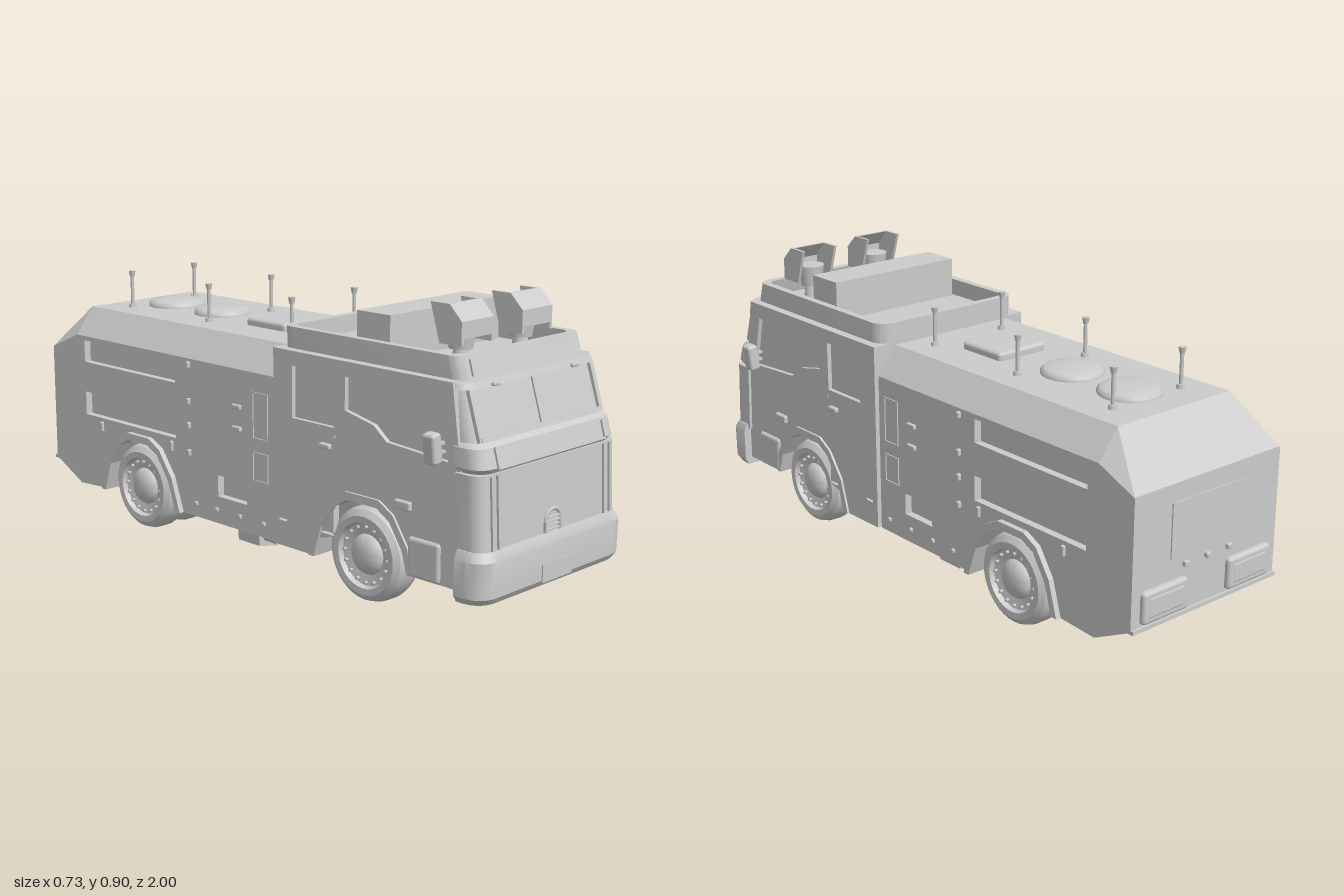
import * as THREE from 'three';
import { toCreasedNormals } from 'three/addons/utils/BufferGeometryUtils.js';
import { RoundedBoxGeometry } from 'three/addons/geometries/RoundedBoxGeometry.js';

export function createModel() {
  const root = new THREE.Group();
  const grey = new THREE.MeshStandardMaterial({ color: 0xcccccc, side: THREE.DoubleSide });
  const V = (x, y, z) => new THREE.Vector3(x, y, z);

  function add(name, geo, x = 0, y = 0, z = 0, parent = root) {
    const m = new THREE.Mesh(geo, grey);
    m.name = name;
    m.position.set(x, y, z);
    parent.add(m);
    return m;
  }
  const box = (name, w, h, d, x, y, z) => add(name, new THREE.BoxGeometry(w, h, d), x, y, z);
  const soft = (name, w, h, d, x, y, z, r = 0.012) => add(name, new RoundedBoxGeometry(w, h, d, 2, r), x, y, z);
  const poly = pts => new THREE.Shape(pts.map(p => new THREE.Vector2(p[0], p[1])));
  const rect = (a, b, c, d) => [[a, c], [b, c], [b, d], [a, d]];

  // Side profile in (z, y), extruded across x from x0 to x1
  function slab(name, pts, x0, x1, holes = []) {
    const s = poly(pts);
    holes.forEach(h => s.holes.push(poly(h)));
    const g = new THREE.ExtrudeGeometry(s, { depth: x1 - x0, bevelEnabled: false });
    g.rotateY(-Math.PI / 2).translate(x1, 0, 0);
    return add(name, g);
  }
  // Mirrored pair of slabs, x0 < x1 on the left side
  function slabPair(name, pts, x0, x1, holes) {
    slab(name + 'Left', pts, x0, x1, holes);
    slab(name + 'Right', pts, -x1, -x0, holes);
  }
  // Closed loft through equal point rings, with end caps
  function loft(name, rings, crease = 0.5) {
    const n = rings[0].length, pos = [];
    const tri = (...v) => v.forEach(p => pos.push(p.x, p.y, p.z));
    for (let k = 0; k < rings.length - 1; k++) {
      for (let i = 0; i < n; i++) {
        const j = (i + 1) % n, a = rings[k], b = rings[k + 1];
        tri(a[i], a[j], b[j]);
        tri(a[i], b[j], b[i]);
      }
    }
    const last = rings[rings.length - 1];
    for (let i = 1; i < n - 1; i++) {
      tri(rings[0][0], rings[0][i + 1], rings[0][i]);
      tri(last[0], last[i], last[i + 1]);
    }
    const g = new THREE.BufferGeometry();
    g.setAttribute('position', new THREE.Float32BufferAttribute(pos, 3));
    g.computeVertexNormals();
    return add(name, toCreasedNormals(g, crease));
  }
  // Plan outline that wraps round the front corners
  function wrap(y, w, zb, zf, r) {
    const right = [V(w, y, zb)];
    for (let i = 0; i <= 5; i++) {
      const a = i / 5 * Math.PI / 2;
      right.unshift(V(w - r + r * Math.cos(a), y, zf - r + r * Math.sin(a)));
    }
    return [...right.map(p => V(-p.x, y, p.z)).reverse(), ...right];
  }

  // ---- Rear body ----
  const rearArch = [[-0.31, 0.1], [-0.345, 0.2], [-0.4, 0.275], [-0.45, 0.3], [-0.55, 0.3], [-0.6, 0.275], [-0.65, 0.2], [-0.68, 0.1]];
  const bodySide = [[0.148, 0.1], ...rearArch, [-0.84, 0.09], [-0.98, 0.16], [-0.98, 0.56], [-0.84, 0.62], [0.148, 0.62]];
  slab('bodyCore', bodySide, -0.275, 0.275);
  slabPair('bodySide', bodySide, 0.275, 0.3, [
    rect(-0.32, -0.8, 0.53, 0.605), rect(-0.32, -0.8, 0.345, 0.425), rect(0.02, -0.115, 0.19, 0.26),
  ]);
  const roofRing = (z, x0, y0, x1, y1) => [V(-x0, y0, z), V(-x1, y1, z), V(x1, y1, z), V(x0, y0, z)];
  loft('bodyRoof', [roofRing(0.148, 0.3, 0.62, 0.23, 0.71), roofRing(-0.84, 0.3, 0.62, 0.23, 0.71), roofRing(-0.98, 0.3, 0.56, 0.297, 0.562)], 0.1);
  for (const z of [-0.66, -0.42]) {
    const dome = [[0.097, 0], [0.097, 0.012], [0.085, 0.022], [0.05, 0.027], [0, 0.029]].map(p => new THREE.Vector2(...p));
    add('roofDome', new THREE.LatheGeometry(dome, 32), 0, 0.708, z);
  }
  soft('roofHatch', 0.19, 0.035, 0.18, 0, 0.718, -0.11);

  // ---- Cab ----
  const frontArch = [[0.335, 0.1], [0.365, 0.2], [0.42, 0.275], [0.47, 0.305], [0.59, 0.305], [0.64, 0.275], [0.69, 0.2], [0.71, 0.13]];
  const cabSide = [[0.155, 0.1], ...frontArch, [0.9, 0.13], [0.91, 0.25], [0.895, 0.47], [0.86, 0.715], [0.155, 0.715]];
  slab('cabCore', cabSide, -0.295, 0.295);
  slabPair('cabSide', cabSide, 0.295, 0.31, [
    [[0.81, 0.665], [0.455, 0.67], [0.455, 0.57], [0.57, 0.545], [0.62, 0.505], [0.85, 0.49]],
    rect(0.41, 0.235, 0.51, 0.67),
    [[0.42, 0.18], [0.42, 0.488], [0.412, 0.488], [0.412, 0.188], [0.18, 0.188], [0.18, 0.18]],
  ]);
  // Flared lips over the wheel arches
  for (const [arch, zc] of [[frontArch, 0.525], [rearArch, -0.497]]) {
    const outer = arch.map(([z, y]) => [zc + (z - zc) * 1.12, 0.1 + (y - 0.1) * 1.12]);
    slabPair('archFlare', [...arch, ...outer.reverse()], 0.3, 0.318);
  }

  // Open roof tray
  const rounded = (w, h, r) => {
    const s = new THREE.Shape();
    s.moveTo(w - r, -h).absarc(w - r, h - r, r, 0, Math.PI / 2).absarc(r - w, h - r, r, Math.PI / 2, Math.PI)
      .absarc(r - w, r - h, r, Math.PI, Math.PI * 1.5).absarc(w - r, r - h, r, Math.PI * 1.5, Math.PI * 2);
    return s;
  };
  const trayShape = rounded(0.28, 0.352, 0.05);
  trayShape.holes.push(rounded(0.255, 0.325, 0.035));
  const tray = new THREE.ExtrudeGeometry(trayShape, { depth: 0.07, bevelEnabled: false, curveSegments: 6 });
  tray.rotateX(-Math.PI / 2).translate(0, 0.71, 0.507);
  const tp = tray.attributes.position;
  for (let i = 0; i < tp.count; i++) {
    if (tp.getZ(i) > 0.7) tp.setZ(i, tp.getZ(i) + (0.78 - tp.getY(i)) * 0.3);
  }
  add('roofTrayRim', toCreasedNormals(tray, 0.5));
  box('roofTrayFloor', 0.53, 0.02, 0.67, 0, 0.715, 0.507);
  box('roofLocker', 0.49, 0.14, 0.13, 0, 0.785, 0.505);
  box('visorPanel', 0.49, 0.048, 0.01, 0, 0.747, 0.868).rotation.x = -0.29;

  // ---- Front ----
  loft('grillePanel', [wrap(0.24, 0.32, 0.89, 0.98, 0.04), wrap(0.47, 0.32, 0.88, 0.968, 0.04)]);
  loft('frontBand', [wrap(0.47, 0.305, 0.88, 0.962, 0.05), wrap(0.485, 0.315, 0.88, 0.972, 0.05), wrap(0.54, 0.312, 0.87, 0.956, 0.05), wrap(0.552, 0.3, 0.87, 0.942, 0.05)]);
  loft('windscreen', [wrap(0.55, 0.3, 0.86, 0.935, 0.05), wrap(0.7, 0.295, 0.83, 0.888, 0.05)]);
  loft('windscreenTopRail', [wrap(0.695, 0.308, 0.84, 0.902, 0.05), wrap(0.712, 0.303, 0.83, 0.895, 0.05)]);
  loft('bumper', [wrap(0.105, 0.325, 0.9, 0.985, 0.06), wrap(0.125, 0.337, 0.9, 0.998, 0.06), wrap(0.23, 0.337, 0.9, 1, 0.06), wrap(0.256, 0.325, 0.9, 0.988, 0.06)]);
  box('numberPlate', 0.136, 0.055, 0.006, 0, 0.147, 0.999);
  const onFront = (name, w, h, x, y, z, tilt, d = 0.012) => { box(name, w, h, d, x, y, z).rotation.x = -tilt; };
  for (const x of [0, -0.275, 0.275]) onFront('windscreenPillar', 0.016, 0.15, x, 0.625, 0.911, 0.304);
  onFront('windscreenSill', 0.55, 0.012, 0, 0.56, 0.934, 0.304);
  for (const y of [0.483, 0.537]) onFront('bandTrim', 0.49, 0.006, 0, y, 0.972 - (y - 0.485) * 0.29, 0.28);
  for (const s of [1, -1]) {
    onFront('bandTrimEnd', 0.006, 0.058, s * 0.245, 0.51, 0.965, 0.28);
    for (const x of [0.245, 0.272]) onFront('grilleRib', 0.006, 0.21, s * x, 0.36, 0.975, 0.052);
    soft('wiperMotor', 0.03, 0.012, 0.012, s * 0.18, 0.7, 0.905, 0.004);
    soft('stepBox', 0.04, 0.12, 0.12, s * 0.3, 0.19, 0.77);
  }
  // Arched vent in the grille
  add('ventArch', new THREE.TorusGeometry(0.034, 0.006, 6, 20, Math.PI), 0, 0.288, 0.979);
  for (const s of [1, -1]) box('ventPost', 0.012, 0.034, 0.012, s * 0.034, 0.272, 0.98);
  for (let i = 0; i < 4; i++) box('ventSlat', 0.058, 0.005, 0.01, 0, 0.263 + i * 0.012, 0.98);

  // ---- Wheels ----
  const wheelProfile = [[0, -0.045], [0.09, -0.045], [0.115, -0.055], [0.137, -0.042], [0.145, -0.018], [0.145, 0.018], [0.138, 0.04],
    [0.12, 0.053], [0.1, 0.052], [0.095, 0.036], [0.062, 0.03], [0.055, 0.042], [0.035, 0.052], [0, 0.056]].map(p => new THREE.Vector2(...p));
  const wheelGeo = toCreasedNormals(new THREE.LatheGeometry(wheelProfile, 36), 0.6);
  function wheel(name, s, x, z, bolts) {
    const g = new THREE.Group();
    g.name = name;
    g.position.set(s * x, 0.145, z);
    g.rotation.z = -s * Math.PI / 2;
    add('tyreAndRim', wheelGeo, 0, 0, 0, g);
    for (let i = 0; i < bolts; i++) {
      const a = i / bolts * Math.PI * 2;
      add('wheelBolt', new THREE.CylinderGeometry(0.005, 0.005, 0.012, 6), 0.085 * Math.cos(a), 0.039, 0.085 * Math.sin(a), g);
    }
    root.add(g);
  }

  for (const s of [1, -1]) {
    wheel('frontWheel', s, 0.257, 0.53, 16);
    wheel('rearWheel', s, 0.257, -0.497, 16);
    wheel('rearInnerWheel', s, 0.14, -0.497, 0);

    // Roof posts
    for (const z of [-0.73, -0.33, 0.06]) {
      add('roofPost', new THREE.CylinderGeometry(0.006, 0.006, 0.11, 8), s * 0.14, 0.765, z);
      add('roofPostCap', new THREE.CylinderGeometry(0.012, 0.008, 0.02, 10), s * 0.14, 0.826, z);
      add('roofPostFoot', new THREE.CylinderGeometry(0.012, 0.014, 0.014, 10), s * 0.14, 0.716, z);
    }

    // Roof spotlight hoods, open at the back
    const hood = [[0.8, 0.79], [0.8, 0.86], [0.755, 0.905], [0.685, 0.905], [0.72, 0.79]];
    slab('hoodCheek', hood, s * 0.2 - 0.005, s * 0.2 + 0.005);
    slab('hoodCheek', hood, s * 0.07 - 0.005, s * 0.07 + 0.005);
    slab('hoodFront', [[0.8, 0.81], [0.8, 0.86], [0.755, 0.905], [0.745, 0.905], [0.79, 0.855], [0.79, 0.81]], s * 0.135 - 0.065, s * 0.135 + 0.065);
    add('spotlight', new THREE.CylinderGeometry(0.045, 0.035, 0.07, 20), s * 0.135, 0.805, 0.74);
    add('spotlightStand', new THREE.CylinderGeometry(0.02, 0.028, 0.06, 16), s * 0.135, 0.75, 0.74);

    // Door mirrors
    soft('mirror', 0.038, 0.09, 0.045, s * 0.343, 0.53, 0.82, 0.01).rotation.z = -s * 0.12;
    for (const y of [0.515, 0.54]) box('mirrorArm', 0.04, 0.008, 0.012, s * 0.318, y, 0.825);

    // Underbody nozzles and their housings
    const housing = poly([[0.065, 0.015], [0.08, 0.005], [0.125, 0.005], [0.2, 0.02], [0.205, 0.1], [0.065, 0.1]].map(([x, y]) => [s * x, y]));
    add('nozzleHousing', new THREE.ExtrudeGeometry(housing, { depth: 0.1, bevelEnabled: false }), 0, 0, -0.13);
    add('nozzle', new THREE.CylinderGeometry(0.01, 0.02, 0.14, 16).rotateX(Math.PI / 2), s * 0.165, 0.05, 0.04);
    add('nozzleCollar', new THREE.CylinderGeometry(0.02, 0.02, 0.03, 16).rotateX(Math.PI / 2), s * 0.165, 0.05, 0.01);

    // Side lockers, handles and marker lights
    const trim = (name, z0, z1, y0, y1) => box(name, 0.008, y1 - y0, z1 - z0, s * 0.3, (y0 + y1) / 2, (z0 + z1) / 2);
    for (const [y0, y1] of [[0.41, 0.56], [0.275, 0.37]]) {
      trim('lockerFrame', 0.05, 0.055, y0, y1);
      trim('lockerFrame', 0.115, 0.12, y0, y1);
      trim('lockerFrame', 0.05, 0.12, y0, y0 + 0.005);
      trim('lockerFrame', 0.05, 0.12, y1 - 0.005, y1);
    }
    for (const y of [0.31, 0.4, 0.48, 0.6]) soft('lockerHinge', 0.016, 0.022, 0.014, s * 0.303, y, -0.25, 0.004);
    for (const y of [0.43, 0.5]) soft('lockerHandle', 0.014, 0.016, 0.04, s * 0.303, y, -0.02, 0.004);
    for (const z of [0.1, -0.01, -0.12, -0.22]) soft('markerLight', 0.012, 0.014, 0.014, s * 0.302, 0.145, z, 0.004);
    for (const z of [-0.34, -0.71]) soft('sideLatch', 0.014, 0.035, 0.014, s * 0.302, 0.315, z, 0.004);
    soft('doorHandle', 0.018, 0.028, 0.06, s * 0.314, 0.335, 0.69, 0.006);
    soft('doorHandle', 0.018, 0.018, 0.045, s * 0.314, 0.45, 0.38, 0.006);

    // Tail lights
    soft('tailLightFrame', 0.18, 0.1, 0.03, s * 0.175, 0.222, -0.983, 0.012);
    soft('tailLight', 0.145, 0.065, 0.02, s * 0.175, 0.222, -0.99, 0.008);
  }

  // ---- Rear face ----
  box('rearDoor', 0.3, 0.17, 0.006, 0, 0.42, -0.981);
  for (const x of [-0.09, 0, 0.09]) soft('rearKnob', 0.018, 0.018, 0.016, x, 0.31, -0.985, 0.005);
  box('rearLip', 0.6, 0.012, 0.02, 0, 0.16, -0.98);
  return root;
}
